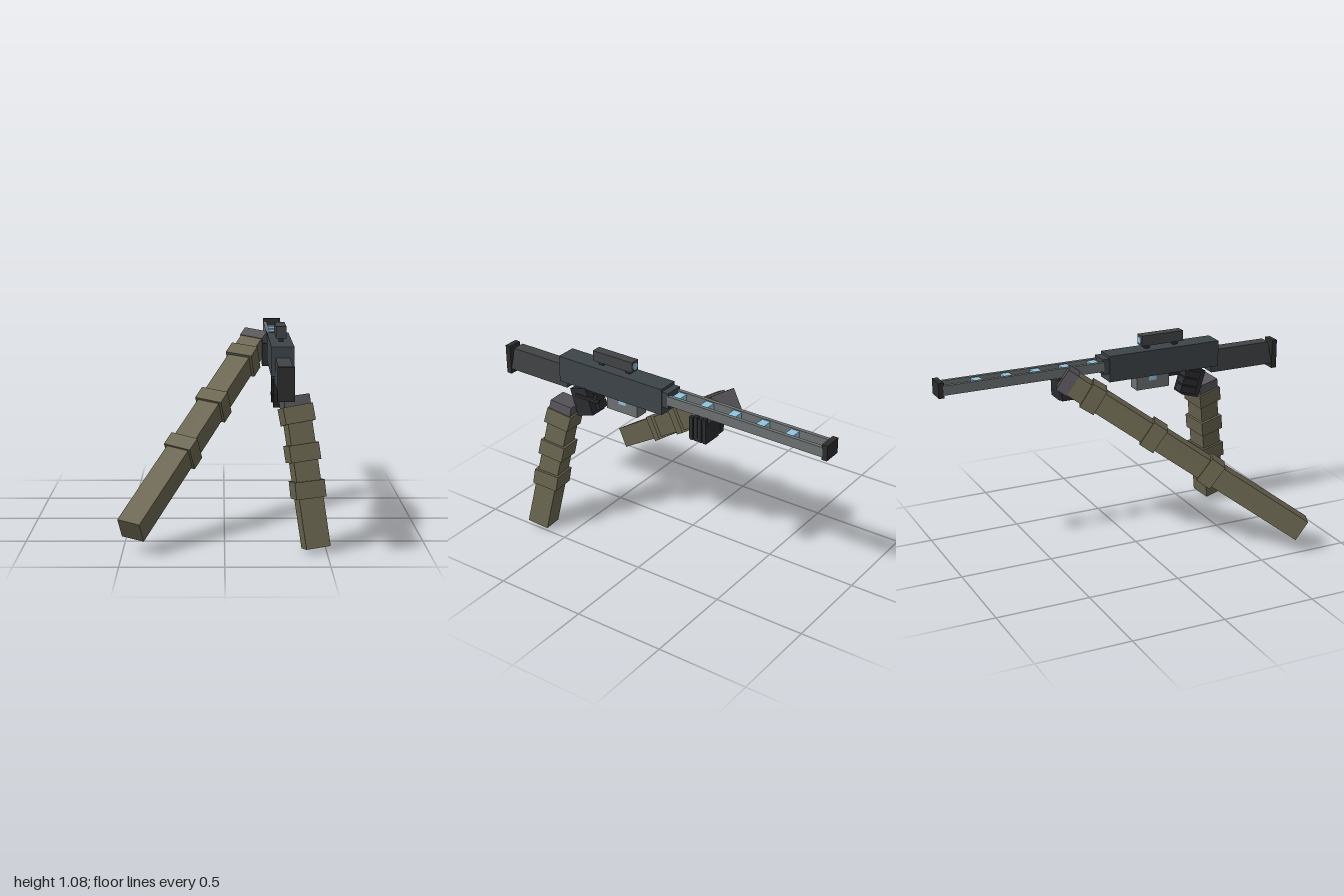
import * as THREE from 'three';

const mat = (color) => new THREE.MeshStandardMaterial({ color });
const GUN = mat(0x3d4449), STOCK = mat(0x424346), DARK = mat(0x2d2d2e), RAIL = mat(0x6c7171);
const BLUE = mat(0x8fc4de), GLOVE = mat(0x2b2c2f), CUFF = mat(0x57555a), SLEEVE = mat(0x69654f);
const CX = 0.283; // centre line of the rifle

// box given by its centre and size
function box(parent, name, material, [x, y, z], [w, h, d]) {
  const m = new THREE.Mesh(new THREE.BoxGeometry(w, h, d), material);
  m.name = name;
  m.position.set(x, y, z);
  parent.add(m);
  return m;
}

// forearm from wrist to elbow; side is the direction of its width
function arm(name, wrist, elbow, side) {
  const g = new THREE.Group();
  g.name = name;
  const a = new THREE.Vector3(...wrist), b = new THREE.Vector3(...elbow);
  const up = a.clone().sub(b), len = up.length();
  up.normalize();
  const z = new THREE.Vector3(...side).cross(up).normalize();
  const x = up.clone().cross(z);
  g.quaternion.setFromRotationMatrix(new THREE.Matrix4().makeBasis(x, up, z));
  g.position.copy(a);
  const cuff = 0.065;
  box(g, 'gloveCuff', CUFF, [0, -cuff / 2, 0], [0.132, cuff, 0.125]);
  box(g, 'sleeve', SLEEVE, [0, -(len + cuff) / 2, 0], [0.122, len - cuff, 0.118]);
  // rolled folds of the sleeve, each tipped a little
  [0.125, 0.375, 0.615].forEach((t, i) => {
    const fold = box(g, 'sleeveFold', SLEEVE, [0, -t * len, 0], [0.15, 0.085, 0.142]);
    fold.rotation.set(0.04 * (i - 1), 0, 0.03 * (1 - i));
  });
  return g;
}

function rifle() {
  const g = new THREE.Group();
  g.name = 'rifle';
  box(g, 'receiver', GUN, [CX, 0.928, 0.285], [0.113, 0.145, 0.66]);
  box(g, 'barrelCollar', GUN, [CX, 0.943, -0.06], [0.1, 0.085, 0.045]);

  // twin-rail barrel with glowing blocks between the rails
  for (const s of [-1, 1]) box(g, 'rail', RAIL, [CX + s * 0.041, 0.944, -0.525], [0.02, 0.052, 0.9]);
  for (let i = 0; i < 5; i++)
    box(g, 'coil', BLUE, [CX, 0.944, -0.115 - i * 0.165], [0.064, 0.04, 0.046]);
  box(g, 'muzzle', DARK, [CX, 0.945, -0.985], [0.1, 0.082, 0.03]);

  // stock, longer along its lower edge
  const shape = new THREE.Shape([[0.56, 0.945], [0.585, 0.815], [0.972, 0.815], [0.945, 0.945]]
    .map(([z, y]) => new THREE.Vector2(z, y)));
  const stock = new THREE.Mesh(new THREE.ExtrudeGeometry(shape, { depth: 0.07, bevelEnabled: false }), STOCK);
  stock.name = 'stock';
  stock.rotation.y = -Math.PI / 2;
  stock.position.x = CX + 0.035;
  g.add(stock);
  box(g, 'buttPlate', DARK, [CX, 0.869, 0.985], [0.08, 0.162, 0.03]);

  // sight on two posts with a round lens in front
  for (const z of [0.37, 0.2]) box(g, 'sightPost', DARK, [CX, 1.01, z], [0.024, 0.03, 0.027]);
  box(g, 'sight', STOCK, [CX, 1.049, 0.285], [0.052, 0.058, 0.25]);
  const lens = new THREE.Mesh(new THREE.CylinderGeometry(0.02, 0.02, 0.008, 16), BLUE);
  lens.name = 'sightLens';
  lens.rotation.x = Math.PI / 2;
  lens.position.set(CX, 1.049, 0.159);
  g.add(lens);

  // power cell under the receiver
  box(g, 'powerCell', RAIL, [CX, 0.82, 0.222], [0.075, 0.085, 0.195]);
  box(g, 'chargeLight', BLUE, [CX, 0.84, 0.22], [0.079, 0.03, 0.045]);
  return g;
}

// hand closed round the pistol grip, index finger forward
function gripHand() {
  const g = new THREE.Group();
  g.name = 'gripHand';
  g.position.set(CX + 0.004, 0.775, 0.468);
  g.rotation.x = 0.3;
  box(g, 'palm', GLOVE, [0.005, 0, 0.005], [0.1, 0.155, 0.105]);
  for (let i = 0; i < 3; i++)
    box(g, 'finger', GLOVE, [-0.022, 0.045 - i * 0.045, -0.02], [0.064, 0.038, 0.095]);
  const index = box(g, 'triggerFinger', GLOVE, [0.054, 0.02, -0.045], [0.015, 0.016, 0.15]);
  index.rotation.x = -0.3;
  return g;
}

// hand holding the barrel from below
function supportHand() {
  const g = new THREE.Group();
  g.name = 'supportHand';
  box(g, 'palm', GLOVE, [CX - 0.003, 0.847, -0.282], [0.145, 0.1, 0.1]);
  box(g, 'heel', GLOVE, [0.222, 0.87, -0.285], [0.03, 0.1, 0.1]);
  for (let i = 0; i < 4; i++) {
    const z = -0.32 + i * 0.026;
    box(g, 'fingerSide', GLOVE, [0.353, 0.866 - (i % 2) * 0.008, z], [0.022, 0.12, 0.021]);
    box(g, 'fingerBase', GLOVE, [0.305, 0.8, z], [0.11, 0.024, 0.021]);
  }
  return g;
}

export function createModel() {
  const model = new THREE.Group();
  model.name = 'rifleWithArms';
  model.add(
    rifle(),
    gripHand(),
    supportHand(),
    arm('rearArm', [0.34, 0.755, 0.572], [0.449, 0.02, 0.69], [0.12, 0.014, -0.022]),
    arm('frontArm', [0.183, 0.94, -0.335], [-0.457, 0.121, 0.763], [0.105, -0.02, 0.06]),
  );
  return model;
}
